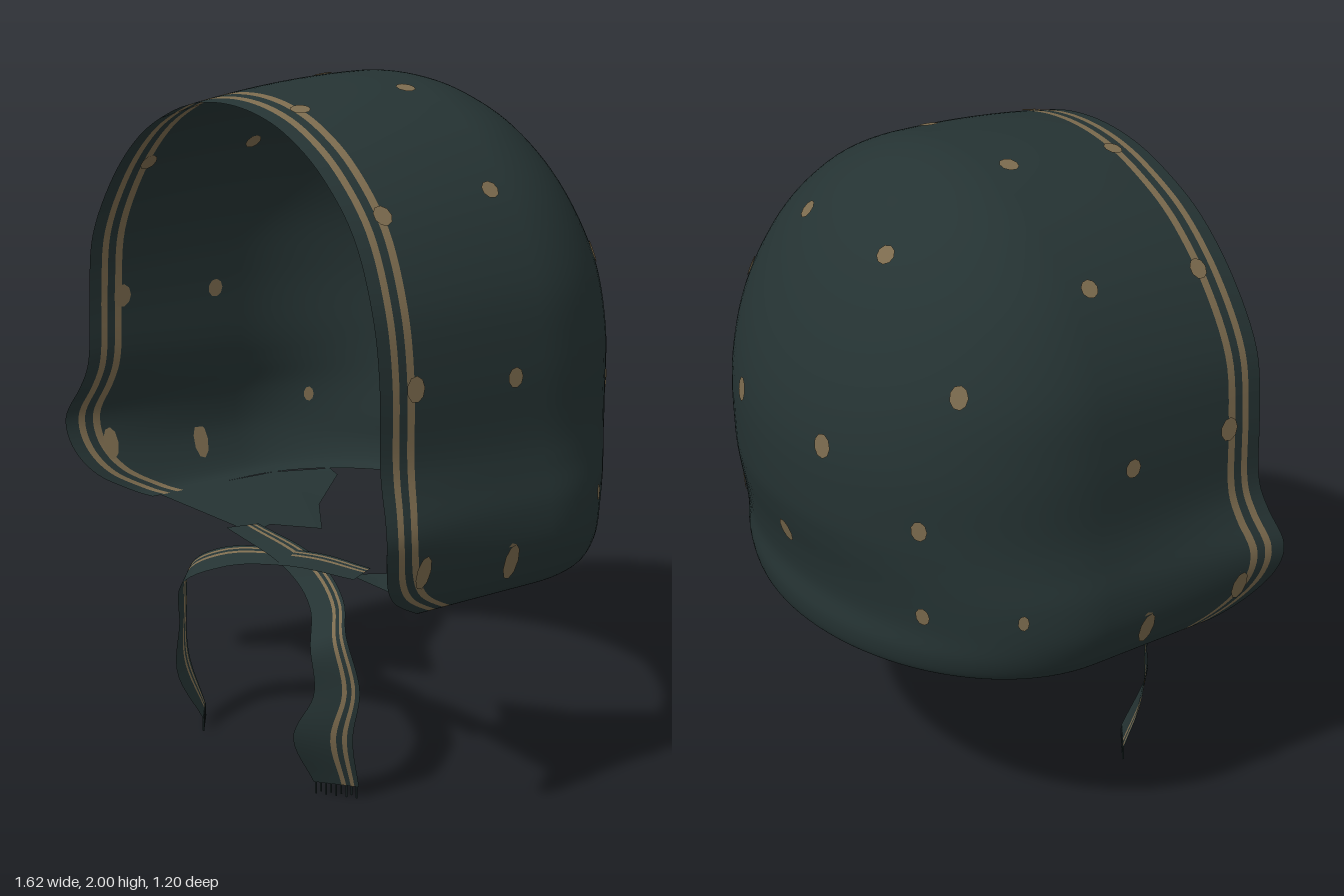
import * as THREE from 'three';
import { mergeVertices } from 'three/addons/utils/BufferGeometryUtils.js';

const V = (x, y, z) => new THREE.Vector3(x, y, z);

// Horizontal slices of the hood: height, half width, back depth, front rim z.
// The first row mirrors the third so that the crown is rounded.
const SLICES = [
  [1.985, -0.15, -0.11, 0.53], [2.0, 0, 0, 0.53], [1.985, 0.15, 0.11, 0.53],
  [1.94, 0.29, 0.22, 0.53], [1.85, 0.445, 0.34, 0.535], [1.7, 0.59, 0.455, 0.54],
  [1.5, 0.69, 0.55, 0.555], [1.3, 0.72, 0.598, 0.555], [1.1, 0.725, 0.597, 0.56],
  [1.0, 0.74, 0.58, 0.575], [0.9, 0.765, 0.552, 0.6], [0.8, 0.768, 0.535, 0.585],
  [0.72, 0.745, 0.545, 0.53], [0.66, 0.71, 0.535, 0.43], [0.64, 0.67, 0.51, 0.38], [0.63, 0.64, 0.49, 0.35],
];
const LAST = SLICES.length - 3;

// Smooth slice at t, from 0 at the crown to LAST at the hem
function sliceAt(t) {
  const i = Math.min(Math.floor(t), LAST - 1), f = t - i;
  return [0, 1, 2, 3].map(k => {
    const [a, b, c, d] = [0, 1, 2, 3].map(j => SLICES[i + j][k]);
    return b + 0.5 * f * (c - a + f * (2 * a - 5 * b + 4 * c - d + f * (3 * (b - c) + d - a)));
  });
}

function sliceAtHeight(h) {
  let lo = 0, hi = LAST;
  for (let i = 0; i < 30; i++) {
    const m = (lo + hi) / 2;
    if (sliceAt(m)[0] > h) lo = m; else hi = m;
  }
  return lo;
}

// Point on the hood. Negative a: straight flank at z = -a; positive a: angle round the back.
function hoodPoint(t, a, side = 1) {
  const [h, w, b, f] = sliceAt(t);
  const z = a < 0 ? -a : -b * Math.sin(a);
  const front = Math.max(0, z / f);
  const flare = 0.045 * front ** 2 * Math.exp(-(((h - 0.9) / 0.12) ** 2));
  const x = (a < 0 ? w + flare : w * Math.cos(a)) * side;
  const droop = 0.05 * front ** 2 * THREE.MathUtils.clamp((h - 1.3) / 0.7, 0, 1);
  return V(x, h - droop, z);
}

// Surface from a grid of points, with one material index per column strip
function gridGeometry(rows, stripMaterial) {
  const n = rows[0].length, index = [], geo = new THREE.BufferGeometry();
  for (let c = 0; c < n - 1; c++) {
    const start = index.length;
    for (let r = 0; r < rows.length - 1; r++) {
      const p = r * n + c;
      index.push(p, p + n, p + 1, p + 1, p + n, p + n + 1);
    }
    geo.addGroup(start, index.length - start, stripMaterial(c));
  }
  geo.setFromPoints(rows.flat());
  geo.setIndex(index);
  const merged = mergeVertices(geo, 1e-4);
  merged.computeVertexNormals();
  return merged;
}

export function createModel() {
  const model = new THREE.Group();
  const fabric = new THREE.MeshStandardMaterial({ color: 0x253333, side: THREE.DoubleSide });
  fabric.name = 'dark fabric';
  const gold = new THREE.MeshStandardMaterial({ color: 0x7c6b4e, side: THREE.DoubleSide });
  gold.name = 'dull gold';
  const add = (name, geo, mat, parent = model) => {
    const m = new THREE.Mesh(geo, mat);
    m.name = name;
    parent.add(m);
    return m;
  };

  // Hood with two woven stripes along the front rim
  const trim = [0, 0.042, 0.064, 0.09, 0.114];
  const rows = [];
  for (let i = 0; i <= 78; i++) {
    const t = (LAST * i) / 78, f = sliceAt(t)[3], cols = trim.map(d => -(f - d));
    for (let k = 1; k <= 8; k++) cols.push(-(f - 0.114) * (1 - k / 8));
    for (let k = 1; k <= 24; k++) cols.push((k / 24) * Math.PI / 2);
    const half = s => cols.map(a => hoodPoint(t, a, s));
    rows.push([...half(-1), ...half(1).reverse().slice(1)]);
  }
  const strips = rows[0].length - 1;
  add('hood', gridGeometry(rows, c => {
    const k = Math.min(c, strips - 1 - c);
    return k === 1 || k === 3 ? 1 : 0;
  }), [fabric, gold]);

  // Woven dots: height, place along the slice, radius, stretch, outside only
  const dots = [
    [1.31, 1.27, 0.029, 1.25], [1.52, 0.68, 0.026, 1.3], [1.13, 0.83, 0.024, 1.3],
    [1.81, 1.16, 0.028, 1], [1.74, -0.06, 0.027, 1], [1.975, -0.06, 0.028, 1],
    [1.26, -0.1, 0.026, 1.1], [0.76, -0.14, 0.026, 2.2], [0.87, 0.45, 0.016, 1.5],
    [0.85, 0.9, 0.022, 1.3, true], [0.95, Math.PI / 2, 0.03, 1.3, true],
    [1.975, -0.42, 0.028, 1], [1.73, -0.43, 0.028, 1.1], [1.28, -0.44, 0.03, 1.2], [0.8, -0.46, 0.026, 2],
  ];
  const dotGroup = new THREE.Group();
  dotGroup.name = 'wovenDots';
  model.add(dotGroup);
  for (const [h, a, radius, stretch, outsideOnly] of dots) {
    const t = sliceAtHeight(h), e = 0.01, p = hoodPoint(t, a);
    const down = hoodPoint(t + e, a).sub(hoodPoint(t - e, a));
    const along = hoodPoint(t, a + e).sub(hoodPoint(t, a - e));
    const normal = down.cross(along).normalize();
    if (normal.dot(V(p.x, p.y - 1.2, Math.min(p.z, 0))) < 0) normal.negate();
    for (const side of a === Math.PI / 2 ? [1] : [-1, 1]) {
      for (const face of outsideOnly ? [1] : [1, -1]) {
        const n = normal.clone().multiplyScalar(face);
        const c = p.clone().addScaledVector(n, 0.004);
        n.x *= side;
        c.x *= side;
        const dot = add('dot', new THREE.CircleGeometry(radius, 9), gold, dotGroup);
        dot.scale.y = stretch;
        dot.position.copy(c);
        dot.lookAt(c.clone().add(n));
      }
    }
  }

  // Ribbon stretched between two edge curves, cut into strips at the given fractions
  const ribbon = (a, b, steps, cuts, mats) => {
    const pts = [];
    for (let i = 0; i <= steps; i++) {
      const p = a.getPoint(i / steps), q = b.getPoint(i / steps);
      pts.push(cuts.map(f => p.clone().lerp(q, f)));
    }
    return gridGeometry(pts, mats);
  };

  for (const s of [1, -1]) {
    const sideName = s > 0 ? 'left' : 'right';
    const lift = s > 0 ? 0 : 0.008;
    const curve = pts => new THREE.CatmullRomCurve3(pts.map(([x, y, z]) => V(x * s, y + lift, z)));

    // Flap folded in under the jaw
    const hem = [-0.35, -0.25, -0.1, 0.15, 0.5].map(a => hoodPoint(LAST, a, s));
    const inner = [[0.24, 0.615, 0.3], [0.29, 0.61, 0.2], [0.16, 0.61, 0.1], [0.38, 0.605, -0.05], [0.54, 0.63, -0.24]];
    const flapRows = hem.map((p, i) => {
      const q = V(inner[i][0] * s, inner[i][1], inner[i][2]);
      return [0, 0.33, 0.67, 1].map(f => p.clone().lerp(q, f));
    });
    add(sideName + 'Flap', gridGeometry(flapRows, () => 0), [fabric]);

    // Crossed tie that hangs down, with two stripes by its outer edge
    const outerEdge = curve([[-0.28, 0.625, 0.25], [0, 0.6, 0.25], [0.3, 0.56, 0.36], [0.39, 0.5, 0.42],
      [0.44, 0.35, 0.41], [0.42, 0.2, 0.42], [0.395, 0.035, 0.38]]);
    const innerEdge = curve([[-0.32, 0.62, 0.34], [0, 0.578, 0.35], [0.22, 0.53, 0.42], [0.33, 0.46, 0.5],
      [0.345, 0.33, 0.5], [0.3, 0.2, 0.54], [0.285, 0.035, 0.46]]);
    add(sideName + 'Tie', ribbon(outerEdge, innerEdge, 40, [0, 0.1, 0.18, 0.28, 0.38, 0.7, 1],
      c => (c === 1 || c === 3 ? 1 : 0)), [fabric, gold]);

    // Fringe at the end of the tie
    for (let i = 0; i < 9; i++) {
      const p = outerEdge.getPoint(1).lerp(innerEdge.getPoint(1), (i + 0.5) / 9);
      const length = p.y - (i % 2) * 0.008;
      const thread = add(sideName + 'Fringe', new THREE.BoxGeometry(0.004, length, 0.004), fabric);
      thread.position.set(p.x, p.y - length / 2, p.z);
    }
  }
  return model;
}
